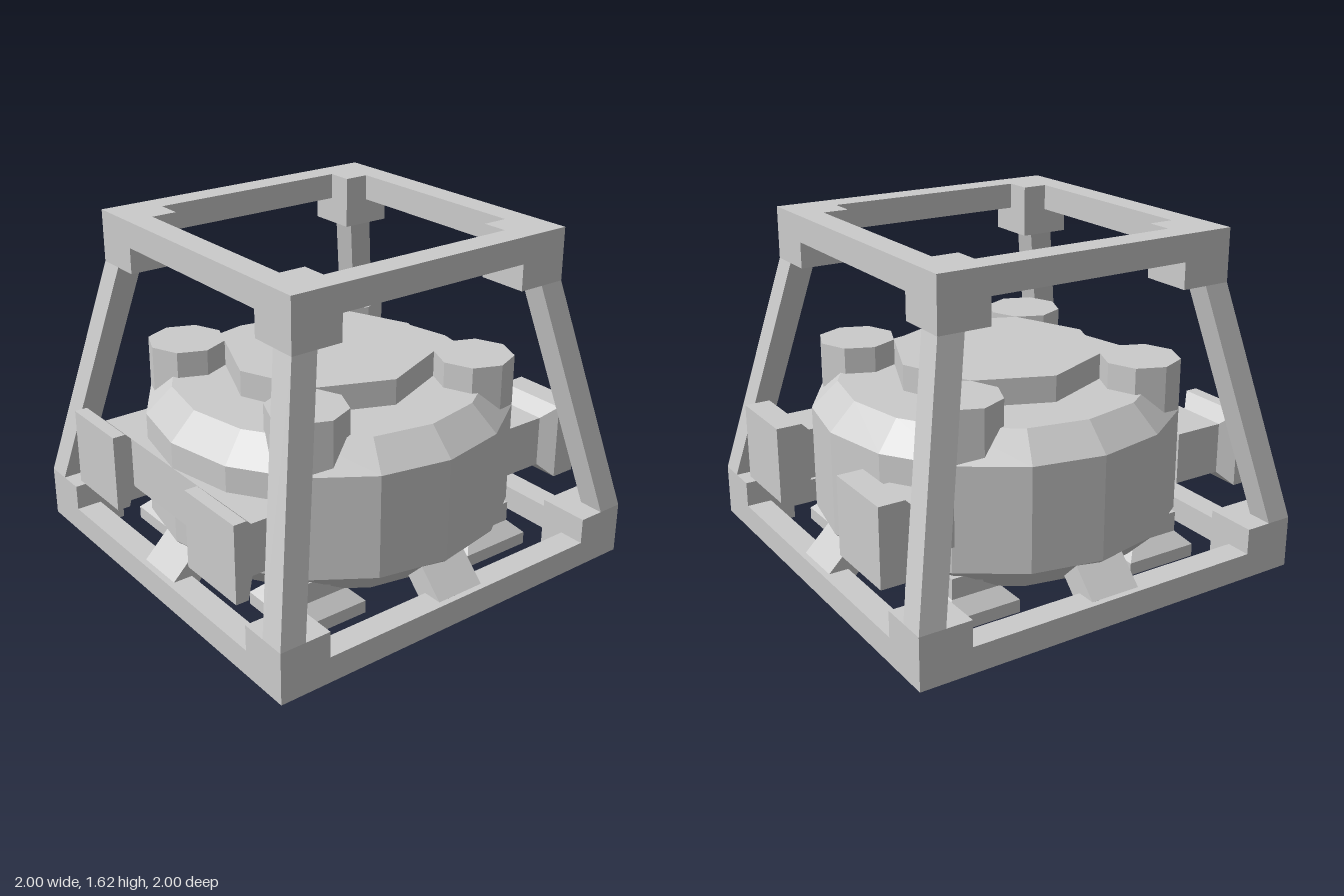
import * as THREE from 'three';

const mat = new THREE.MeshStandardMaterial({ color: 0xcccccc, flatShading: true });

function add(parent, name, geo, x = 0, y = 0, z = 0) {
  const m = new THREE.Mesh(geo, mat);
  m.name = name;
  m.position.set(x, y, z);
  parent.add(m);
  return m;
}
const box = (w, h, d) => new THREE.BoxGeometry(w, h, d);
const corners = [[1, 1], [1, -1], [-1, -1], [-1, 1]];

// Square ring of bars, 0.125 thick, standing on y = 0
function ringGeometry(half) {
  const square = (P, s) => new P([[-s, -s], [s, -s], [s, s], [-s, s]].map(p => new THREE.Vector2(...p)));
  const shape = square(THREE.Shape, half);
  shape.holes.push(square(THREE.Path, half - 0.125));
  return new THREE.ExtrudeGeometry(shape, { depth: 0.125, bevelEnabled: false }).rotateX(-Math.PI / 2);
}

// Square post leaning inwards from the base corner to the top corner
function legGeometry(sx, sz) {
  const g = box(0.125, 1.125, 0.125);
  const p = g.attributes.position;
  for (let i = 0; i < p.count; i++) {
    const c = p.getY(i) > 0 ? 0.6875 : 0.9375;
    p.setX(i, p.getX(i) + sx * c);
    p.setZ(i, p.getZ(i) + sz * c);
  }
  g.computeVertexNormals();
  return g;
}

// Pod: square plate, taper and stub, running along +y from its outer face
function makePod(name, plate, stub) {
  const pod = new THREE.Group();
  pod.name = name;
  add(pod, 'podPlate', box(0.375, plate, 0.375), 0, plate / 2);
  const taper = new THREE.CylinderGeometry(0.125 * Math.SQRT2, 0.1875 * Math.SQRT2, 0.0625, 4).rotateY(Math.PI / 4);
  add(pod, 'podTaper', taper, 0, plate + 0.03125);
  add(pod, 'podStub', box(0.25, stub, 0.25), 0, plate + 0.0625 + stub / 2);
  return pod;
}

// One quarter of the underside, with a sloped rim; gaps between quarters form grooves
function undersideGeometry() {
  const deg = Math.PI / 180;
  const pts = [new THREE.Vector2(0.156, 0)];
  for (const a of [-36.6, -22.5, 0, 22.5, 36.6]) {
    const mid = (Math.floor((a + 0.001) / 22.5) + 0.5) * 22.5;
    const r = 0.75 * Math.cos(11.25 * deg) / Math.cos((a - mid) * deg);
    pts.push(new THREE.Vector2(r * Math.cos(a * deg), r * Math.sin(a * deg)));
  }
  const g = new THREE.ExtrudeGeometry(new THREE.Shape(pts), { depth: 0.0625, bevelEnabled: false });
  g.rotateX(-Math.PI / 2);
  const p = g.attributes.position;
  for (let i = 0; i < p.count; i++) {
    if (p.getY(i) > 0.03 && Math.hypot(p.getX(i), p.getZ(i)) > 0.5) {
      p.setX(i, p.getX(i) * 1.0833);
      p.setZ(i, p.getZ(i) * 1.0833);
    }
  }
  g.computeVertexNormals();
  return g;
}

export function createModel() {
  const model = new THREE.Group();
  model.name = 'cagedMachine';

  // Cage
  const cage = new THREE.Group();
  cage.name = 'cage';
  model.add(cage);
  add(cage, 'baseRing', ringGeometry(1));
  add(cage, 'topRing', ringGeometry(0.75), 0, 1.5, 0);
  for (const [sx, sz] of corners) {
    add(cage, 'baseCorner', box(0.25, 0.25, 0.25), sx * 0.875, 0.125, sz * 0.875);
    add(cage, 'topCorner', box(0.25, 0.25, 0.25), sx * 0.625, 1.5, sz * 0.625);
    add(cage, 'leg', legGeometry(sx, sz), 0, 0.8125, 0);
  }

  // Sixteen-sided body
  const profile = [[0, 0.1875], [0.8125, 0.1875], [0.875, 0.25], [0.875, 0.75], [0.75, 0.875], [0, 0.875]];
  add(model, 'body', new THREE.LatheGeometry(profile.map(p => new THREE.Vector2(...p)), 16));

  // Raised octagonal cap with a lobe at each diagonal
  add(model, 'cap', new THREE.CylinderGeometry(0.5, 0.5, 0.2, 8), 0, 0.9, 0);
  for (const [sx, sz] of corners) {
    add(model, 'capLobe', new THREE.CylinderGeometry(0.1875, 0.1875, 0.25, 8), sx * 0.486, 0.875, sz * 0.486);
  }

  // Grooved underside and sloped struts to the base ring
  for (let i = 0; i < 4; i++) {
    const side = new THREE.Group();
    side.name = 'lowerSide';
    side.rotation.y = i * Math.PI / 2;
    model.add(side);
    add(side, 'undersideQuarter', undersideGeometry(), 0, 0.125, 0);
    add(side, 'strut', box(0.25, 0.125, 0.26), 0, 0.173, 0.834).rotation.x = Math.PI / 4;
  }

  // Feet pods below
  for (const [sx, sz] of corners) {
    const foot = makePod('footPod', 0.0625, 0.1);
    foot.position.set(sx * 0.5, 0, sz * 0.5);
    model.add(foot);
  }

  // Front pods on a cross beam, back pods on separate stubs
  add(model, 'frontBeam', box(1.25, 0.25, 0.25), 0, 0.5, 0.75);
  for (const s of [1, -1]) {
    const front = makePod('frontPod', 0.0625, 0.1);
    front.position.set(s * 0.5, 0.5, 1);
    front.rotation.x = -Math.PI / 2;
    const back = makePod('backPod', 0.125, 0.25);
    back.position.set(s * 0.5, 0.5, -1);
    back.rotation.x = Math.PI / 2;
    model.add(front, back);
  }
  return model;
}
